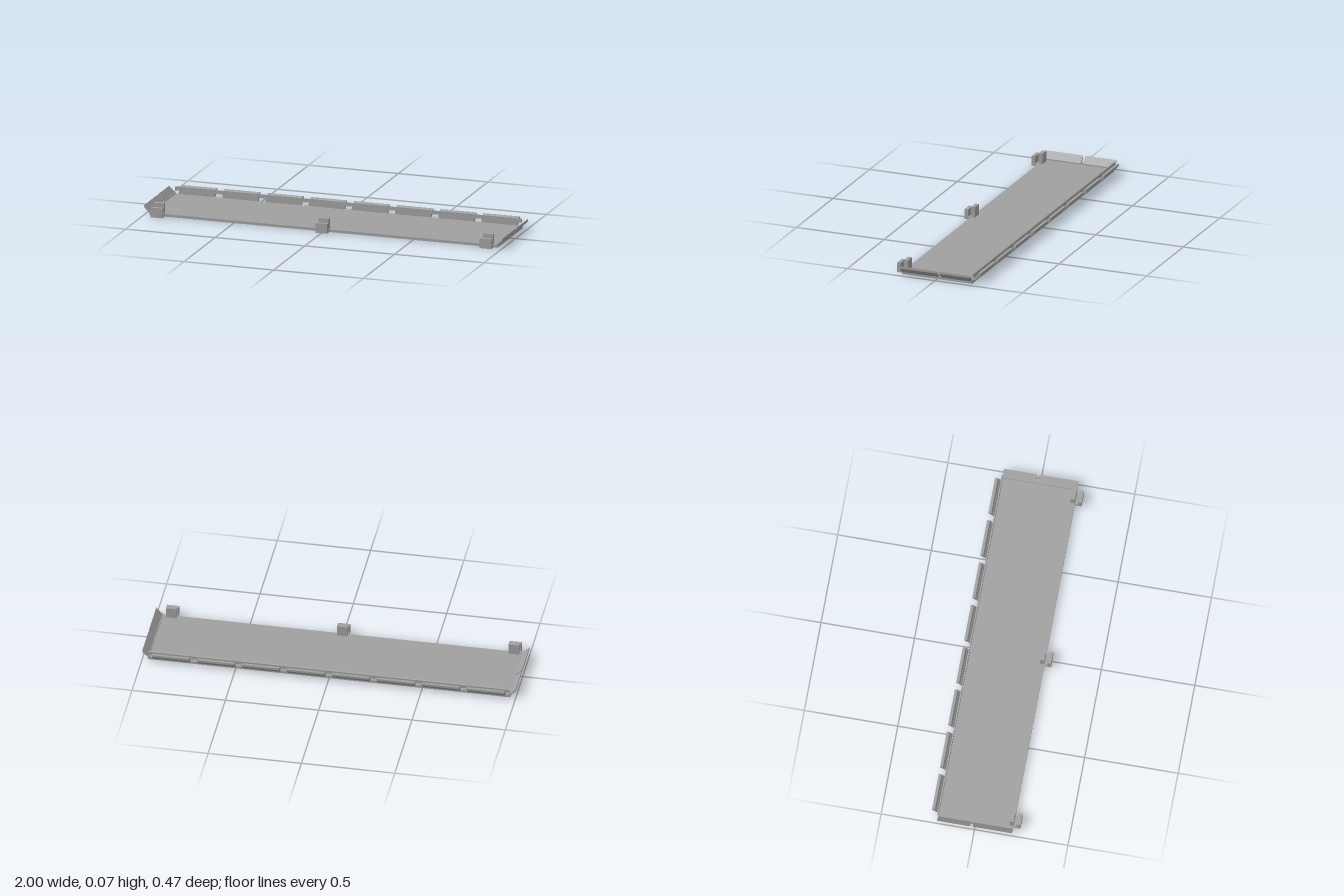
import * as THREE from 'three';

export function createModel() {
  const group = new THREE.Group();
  const gray = new THREE.MeshStandardMaterial({ color: 0xa0a0a0 });
  gray.name = 'plain gray';

  // Extrudes an (outward, up) profile along one edge of the tray.
  function strip(name, profile, length, angle, along) {
    const shape = new THREE.Shape(profile.map(([u, v]) => new THREE.Vector2(u, v)));
    const geo = new THREE.ExtrudeGeometry(shape, { depth: length, bevelEnabled: false });
    geo.translate(0, 0, -length / 2);
    geo.rotateY(angle);
    const mesh = new THREE.Mesh(geo, gray);
    mesh.name = name;
    mesh.position.set(along[0], 0, along[1]);
    group.add(mesh);
  }

  // Base plate
  const plate = new THREE.Mesh(new THREE.BoxGeometry(1.94, 0.014, 0.4), gray);
  plate.name = 'basePlate';
  plate.position.y = 0.007;
  group.add(plate);

  // Slanted end flaps, two on each short side
  const endProfile = [[0.962, 0.012], [0.971, 0.012], [1, 0.041], [1, 0.053], [0.967, 0.02], [0.962, 0.02]];
  for (const angle of [0, Math.PI]) {
    for (const [z0, z1] of [[-0.2, -0.024], [-0.01, 0.2]]) {
      strip('endFlap', endProfile, z1 - z0, angle, [0, (z0 + z1) / 2]);
    }
  }

  // Row of eight slanted flaps along the back
  const backProfile = [[0.198, 0.012], [0.207, 0.012], [0.237, 0.042], [0.237, 0.053],
    [0.222, 0.053], [0.218, 0.045], [0.206, 0.033], [0.198, 0.033]];
  for (let i = 0; i < 8; i++) {
    strip('backFlap', backProfile, 0.2, Math.PI / 2, [-0.844 + i * 0.241, 0]);
  }

  // Thin rail bridging the back flaps
  const railProfile = [[0.199, 0.032], [0.205, 0.032], [0.205, 0.0505], [0.199, 0.053]];
  strip('backRail', railProfile, 1.932, Math.PI / 2, [0, 0]);

  // Front clips: a forward L-shaped foot and an upright tab on the plate
  const footProfile = [[0.2, 0], [0.237, 0], [0.237, 0.053], [0.217, 0.053], [0.217, 0.013], [0.2, 0.013]];
  const tabProfile = [[0.177, 0.013], [0.2, 0.013], [0.2, 0.071], [0.177, 0.071]];
  for (const x of [-0.919, 0, 0.916]) {
    strip('clipFoot', footProfile, 0.066, -Math.PI / 2, [x, 0]);
    strip('clipTab', tabProfile, 0.056, -Math.PI / 2, [x, 0]);
  }

  return group;
}
